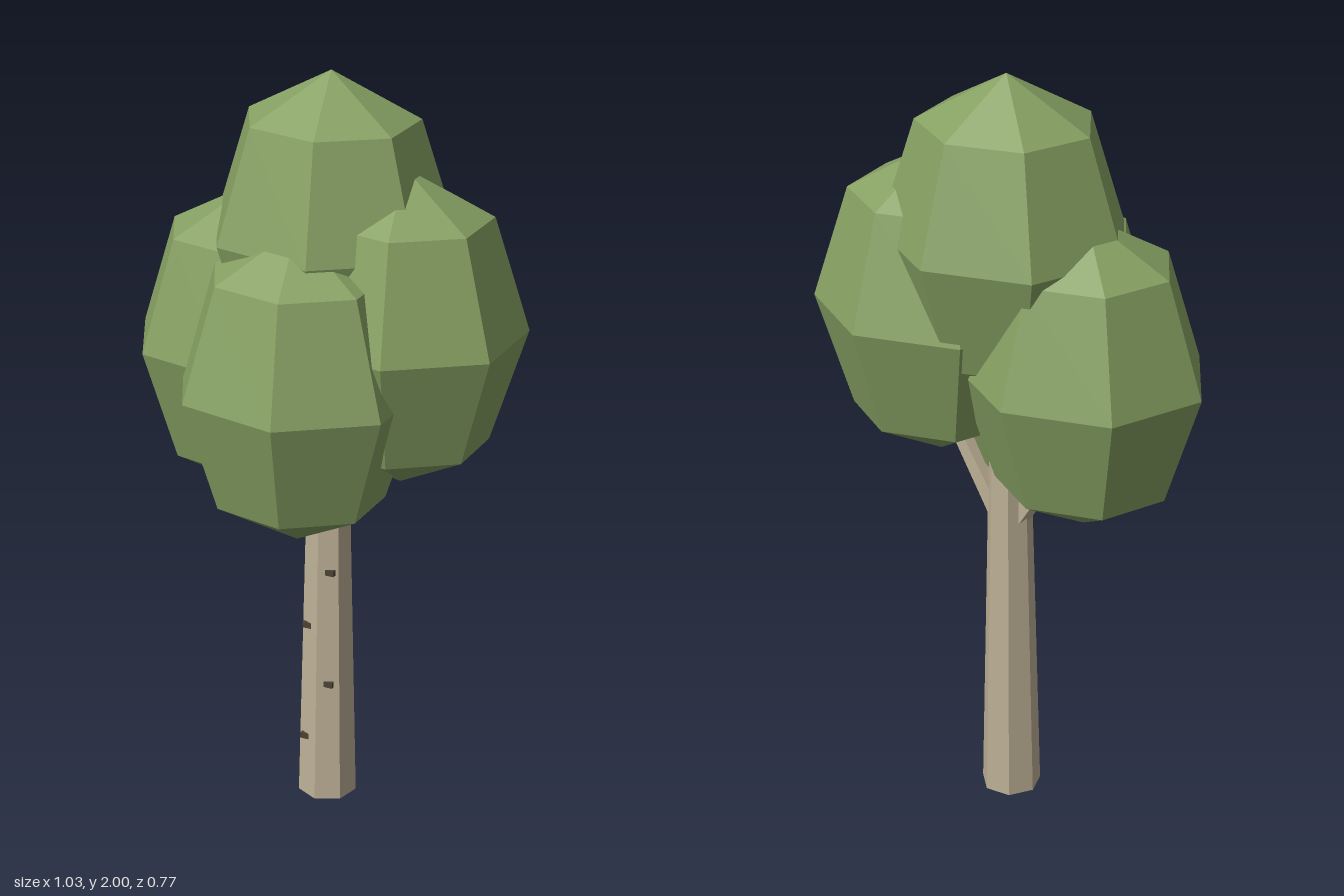
import * as THREE from 'three';

function material(name, color) {
  const m = new THREE.MeshStandardMaterial({ color, flatShading: true });
  m.name = name;
  return m;
}

export function createModel() {
  const tree = new THREE.Group();
  tree.name = 'tree';
  const bark = material('pale bark', 0xbdb095);
  const knotBark = material('dark bark', 0x4a4234);
  const leaf = material('leaf green', 0x86a062);

  const add = (name, geometry, mat, x, y, z) => {
    const mesh = new THREE.Mesh(geometry, mat);
    mesh.name = name;
    mesh.position.set(x, y, z);
    tree.add(mesh);
    return mesh;
  };

  // Seven-sided tapering trunk
  const axisX = 0.02, axisZ = -0.094, height = 1.2, baseR = 0.079, topR = 0.05;
  add('trunk', new THREE.CylinderGeometry(topR, baseR, height, 7), bark, axisX, height / 2, axisZ);

  // Forked branches reaching into the side crowns
  const up = new THREE.Vector3(0, 1, 0);
  const addBranch = (name, from, to) => {
    const a = new THREE.Vector3(...from), b = new THREE.Vector3(...to);
    const dir = b.clone().sub(a);
    const mid = a.add(b).multiplyScalar(0.5);
    const branch = add(name, new THREE.CylinderGeometry(0.022, 0.032, dir.length(), 5), bark, mid.x, mid.y, mid.z);
    branch.quaternion.setFromUnitVectors(up, dir.normalize());
  };
  addBranch('leftBranch', [0.03, 0.79, -0.1], [0.21, 1.11, -0.1]);
  addBranch('rightBranch', [0.01, 0.79, -0.1], [-0.17, 1.07, -0.1]);

  // Small bark knots up the front of the trunk
  for (const [x, y] of [[-0.018, 0.175], [0.05, 0.345], [-0.015, 0.505], [0.05, 0.67]]) {
    const r = baseR + (topR - baseR) * (y / height);
    const z = axisZ + r - Math.abs(x - axisX) * 0.48;
    add('barkKnot', new THREE.BoxGeometry(0.024, 0.016, 0.016), knotBark, x, y, z - 0.002);
  }

  // Faceted egg-shaped leaf crowns
  const crowns = [
    ['topCrown', 0.022, 1.584, -0.098],
    ['leftCrown', 0.226, 1.366, -0.088],
    ['rightCrown', -0.196, 1.265, -0.1],
    ['frontCrown', 0.022, 1.237, 0.092],
  ];
  for (const [name, x, y, z] of crowns) {
    const egg = new THREE.SphereGeometry(1, 7, 4).scale(0.32, 0.416, 0.294);
    add(name, egg, leaf, x, y, z);
  }
  return tree;
}
